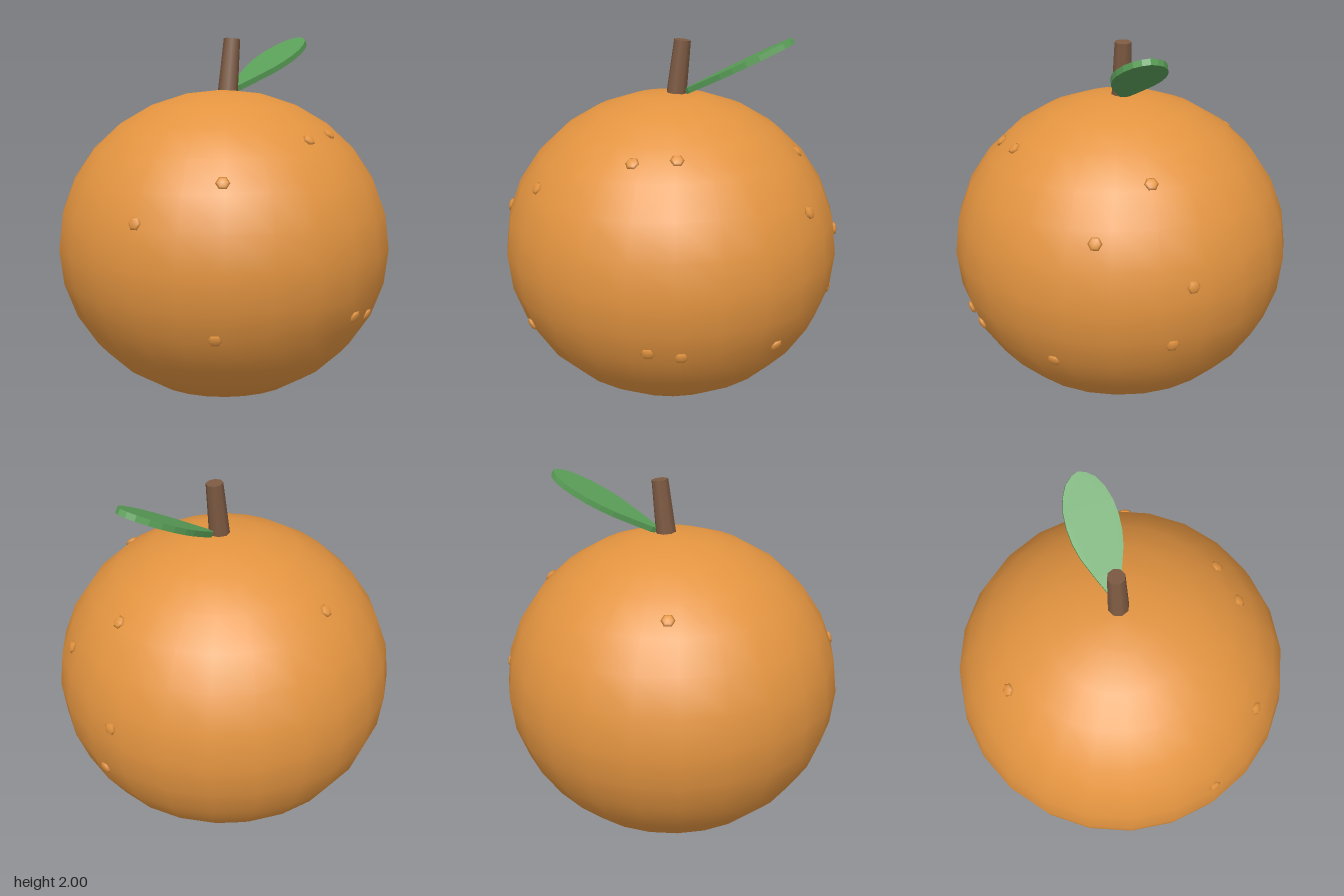
import * as THREE from 'three';

const RADIUS = 0.913, HALF_HEIGHT = 0.848;

function material(name, color, flatShading = false) {
  const m = new THREE.MeshStandardMaterial({ color, flatShading });
  m.name = name;
  return m;
}

export function createModel() {
  const group = new THREE.Group();
  const orange = material('orange peel', 0xe39440);
  const brown = material('stem brown', 0x7d5a42);
  const green = material('leaf green', 0x5a9f58);

  const add = (name, geometry, mat) => {
    const mesh = new THREE.Mesh(geometry, mat);
    mesh.name = name;
    group.add(mesh);
    return mesh;
  };

  // Slightly squashed fruit body
  const body = new THREE.SphereGeometry(RADIUS, 24, 14);
  body.scale(1, HALF_HEIGHT / RADIUS, 1);
  add('fruit', body, orange).position.y = HALF_HEIGHT;

  // Leaning, tapered stem
  const stem = add('stem', new THREE.CylinderGeometry(0.045, 0.056, 0.32, 8), brown);
  stem.position.set(0.046, 1.811, 0);
  stem.rotation.z = -0.112;

  // Leaf outline: distance from the base, half width
  const side = [[0.03, 0.028], [0.13, 0.07], [0.235, 0.11], [0.31, 0.127], [0.39, 0.133],
    [0.465, 0.127], [0.535, 0.108], [0.595, 0.075], [0.625, 0.038]];
  const outline = [[0, 0], ...side.map(([u, w]) => [u, -w]), [0.64, 0], ...[...side].reverse()];
  const leafShape = new THREE.Shape(outline.map(([u, w]) => new THREE.Vector2(u, w)));
  const leafGeometry = new THREE.ExtrudeGeometry(leafShape, { depth: 0.031, bevelEnabled: false });
  leafGeometry.rotateX(-Math.PI / 2);
  const leaf = add('leaf', leafGeometry, green);
  leaf.position.set(0.083, 1.68, 0);
  leaf.rotation.z = 0.468;

  // Small flattened peel bumps: x, y and the side of the fruit they sit on (z sign)
  const bump = new THREE.SphereGeometry(0.036, 6, 4);
  bump.rotateX(Math.PI / 2);
  bump.scale(1, 1, 0.4);
  const spots = [
    [-0.04, 1.455, 0.64], [0.175, 1.475, 0.6], [-0.57, 1.27, 0.55], [-0.855, 1.075, 0.235],
    [0.8, 1.165, 0.3], [0.69, 1.405, 0], [0.9, 0.94, -0.165], [0.88, 0.625, -0.07],
    [0.085, 0.555, 0.85], [0.245, 0.53, 0.81], [0.67, 0.5, 0.49], [-0.625, 0.515, 0.55],
    [-0.12, 1.45, -0.645],
  ];
  for (const [x, y, z] of spots) {
    // Snap each bump onto the peel and face it outward
    const p = new THREE.Vector3(x / RADIUS, (y - HALF_HEIGHT) / HALF_HEIGHT, z / RADIUS).normalize();
    const normal = new THREE.Vector3(p.x / RADIUS, p.y / HALF_HEIGHT, p.z / RADIUS).normalize();
    const mesh = add('peelBump', bump, orange);
    mesh.position.set(p.x * RADIUS, HALF_HEIGHT + p.y * HALF_HEIGHT, p.z * RADIUS);
    mesh.position.addScaledVector(normal, -0.002);
    mesh.lookAt(mesh.position.clone().add(normal));
  }

  return group;
}
